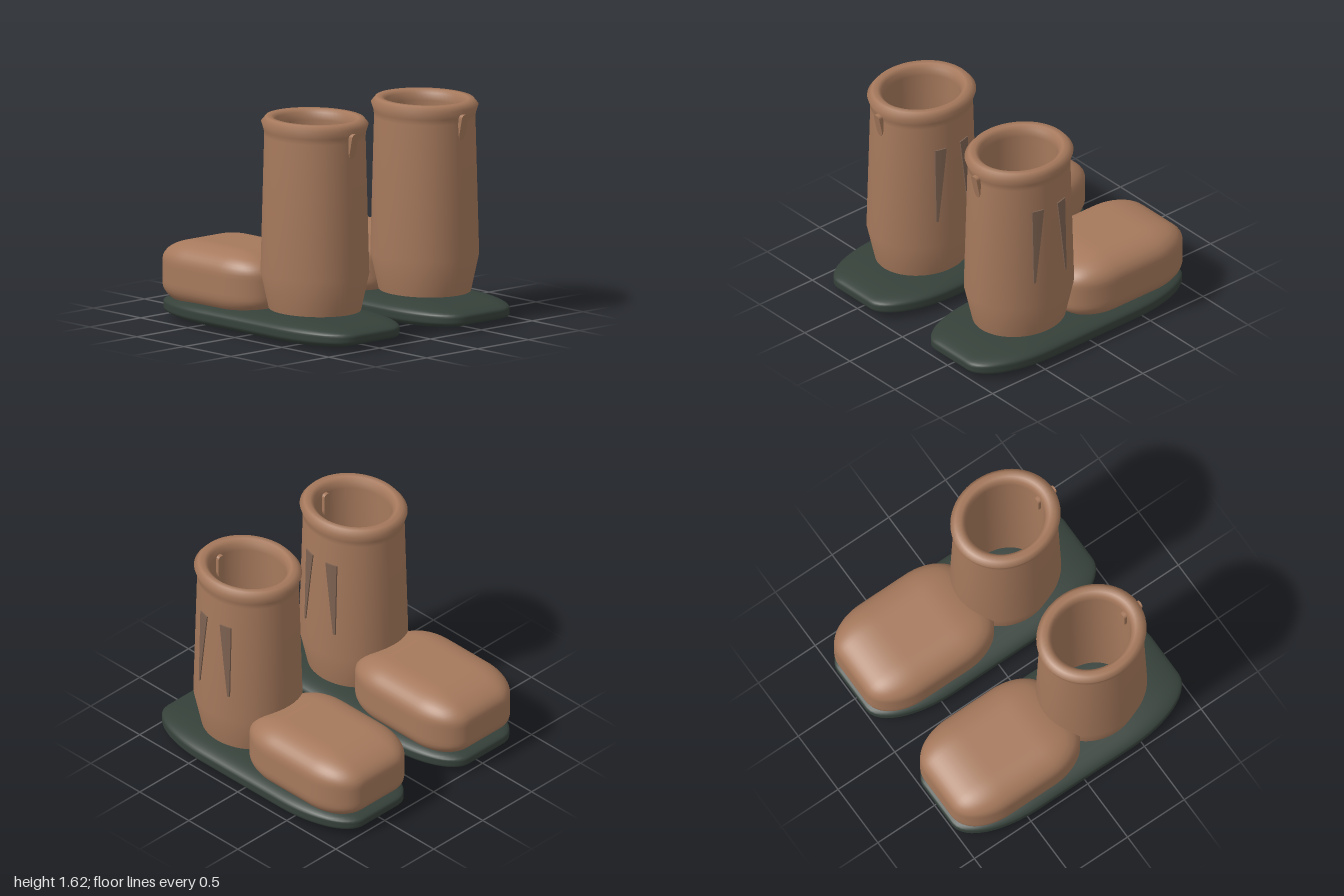
import * as THREE from 'three';
import { mergeVertices } from 'three/addons/utils/BufferGeometryUtils.js';

const CX = 0.54, CZ = 0.355, STRETCH = 1.13;

// Block whose corners are ellipsoids with half axes r (one per axis)
function roundedBlock(size, r) {
  const g = new THREE.BoxGeometry(2, 2, 2, 24, 16, 24);
  g.deleteAttribute('uv');
  g.deleteAttribute('normal');
  const p = g.attributes.position, half = size.map((s) => s / 2);
  for (let i = 0; i < p.count; i++) {
    const q = [p.getX(i), p.getY(i), p.getZ(i)].map((v, k) => v * half[k]);
    const core = q.map((v, k) => THREE.MathUtils.clamp(v, r[k] - half[k], half[k] - r[k]));
    const d = q.map((v, k) => (v - core[k]) / r[k]);
    const len = Math.hypot(...d) || 1;
    p.setXYZ(i, ...core.map((c, k) => c + (d[k] / len) * r[k]));
  }
  const m = mergeVertices(g);
  m.computeVertexNormals();
  return m;
}

// Hollow elliptical shaft with a flared rim
function shaftGeometry() {
  const profile = [
    [0.315, 0.21], [0.37, 0.48], [0.345, 1.48], [0.348, 1.52], [0.366, 1.58],
    [0.335, 1.62], [0.295, 1.62], [0.27, 1.595], [0.262, 1.54], [0.265, 0.21], [0.315, 0.21],
  ].map(([x, y]) => new THREE.Vector2(x, y));
  return new THREE.LatheGeometry(profile, 56).scale(1, 1, STRETCH);
}

// Thin tapering strip that hugs the outer (+x) side of the shaft; side = 1 is nearer the front
function stripGeometry(side) {
  const g = new THREE.BoxGeometry(1, 1, 1, 1, 4, 3);
  const p = g.attributes.position;
  for (let i = 0; i < p.count; i++) {
    const t = p.getY(i) + 0.5, y = 0.69 + 0.6 * t;
    const edge = side * 0.155, inner = side * (0.14 - 0.075 * t);
    const lo = Math.min(edge, inner), hi = Math.max(edge, inner);
    const z = lo + (hi - lo) * (p.getZ(i) + 0.5);
    const rx = 0.37 - 0.025 * (y - 0.48);
    const x = rx * Math.sqrt(1 - (z / (rx * STRETCH)) ** 2);
    p.setXYZ(i, x + (p.getX(i) > 0 ? 0.01 : -0.01), y, z);
  }
  g.computeVertexNormals();
  return g;
}

// Small tab through the front wall, leaning outward toward its top
function tabGeometry() {
  const s = new THREE.Shape();
  s.moveTo(0, 1.35);
  s.quadraticCurveTo(0.025, 1.37, 0.03, 1.41);
  s.lineTo(0.03, 1.525);
  s.quadraticCurveTo(0.028, 1.55, 0, 1.55);
  s.quadraticCurveTo(-0.028, 1.55, -0.03, 1.525);
  s.lineTo(-0.03, 1.41);
  s.quadraticCurveTo(-0.025, 1.37, 0, 1.35);
  const g = new THREE.ExtrudeGeometry(s, { depth: 1, bevelEnabled: false, curveSegments: 6 });
  const p = g.attributes.position;
  for (let i = 0; i < p.count; i++) {
    const front = 0.745 + (p.getY(i) - 1.35) * 0.22;
    p.setZ(i, (p.getZ(i) > 0.5 ? front : 0.625) - CZ);
  }
  g.computeVertexNormals();
  return g;
}

export function createModel() {
  const leather = new THREE.MeshStandardMaterial({ color: 0xa6795c });
  const crease = new THREE.MeshStandardMaterial({ color: 0x7c6150 });
  const rubber = new THREE.MeshStandardMaterial({ color: 0x36413a });
  leather.name = 'brown leather';
  crease.name = 'dark leather';
  rubber.name = 'dark green rubber';

  const parts = [
    ['sole', roundedBlock([0.88, 0.185, 2], [0.26, 0.07, 0.6]), rubber, [0, 0.0975, 0]],
    ['foot', roundedBlock([0.805, 0.49, 1.1], [0.23, 0.16, 0.35]), leather, [0, 0.345, -0.45]],
    ['shaft', shaftGeometry(), leather, [0, 0, CZ]],
    ['pullTab', tabGeometry(), leather, [0, 0, CZ]],
    ['frontStrip', stripGeometry(1), crease, [0, 0, CZ]],
    ['backStrip', stripGeometry(-1), crease, [0, 0, CZ]],
  ];

  // Both boots are the same, side by side
  const model = new THREE.Group();
  model.name = 'boots';
  for (const [name, x] of [['leftBoot', CX], ['rightBoot', -CX]]) {
    const boot = new THREE.Group();
    boot.name = name;
    boot.position.x = x;
    for (const [part, geometry, material, pos] of parts) {
      const mesh = new THREE.Mesh(geometry, material);
      mesh.name = part;
      mesh.position.set(...pos);
      boot.add(mesh);
    }
    model.add(boot);
  }
  return model;
}
